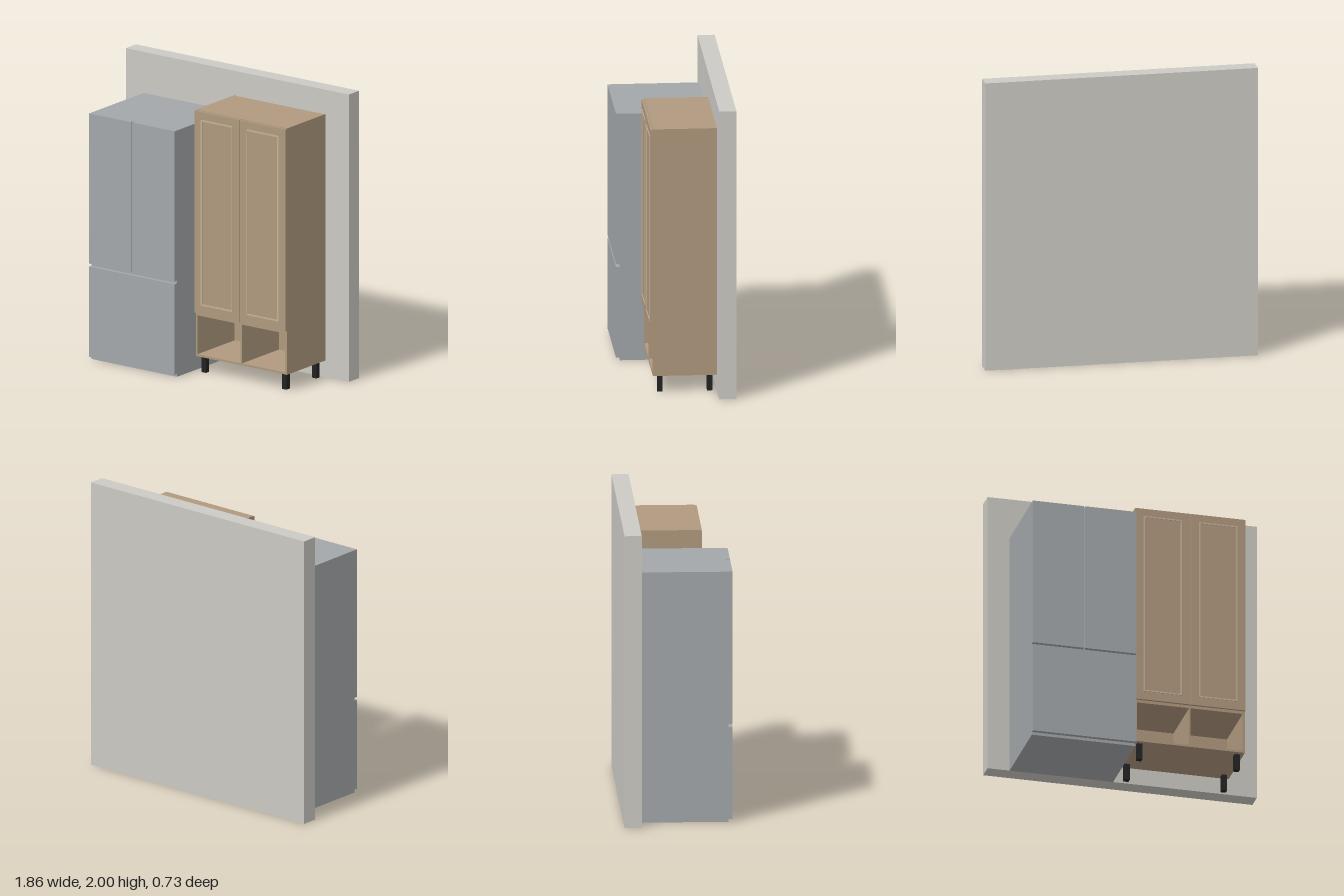
import * as THREE from 'three';

const paint = (color) => new THREE.MeshStandardMaterial({ color });

// Box given by its lower and upper limits on each axis
function box(parent, name, mat, [x0, x1], [y0, y1], [z0, z1]) {
  const mesh = new THREE.Mesh(new THREE.BoxGeometry(x1 - x0, y1 - y0, z1 - z0), mat);
  mesh.position.set((x0 + x1) / 2, (y0 + y1) / 2, (z0 + z1) / 2);
  mesh.name = name;
  parent.add(mesh);
  return mesh;
}

function group(parent, name) {
  const g = new THREE.Group();
  g.name = name;
  parent.add(g);
  return g;
}

// Thin raised rectangular frame on a door
function moulding(parent, mat, [x0, x1], [y0, y1], z, depth, t) {
  const rect = (P, d) => new P([[x0 + d, y0 + d], [x1 - d, y0 + d], [x1 - d, y1 - d], [x0 + d, y1 - d]]
    .map(([x, y]) => new THREE.Vector2(x, y)));
  const shape = rect(THREE.Shape, 0);
  shape.holes.push(rect(THREE.Path, t));
  const mesh = new THREE.Mesh(new THREE.ExtrudeGeometry(shape, { depth, bevelEnabled: false }), mat);
  mesh.position.z = z;
  mesh.name = 'doorMoulding';
  parent.add(mesh);
}

export function createModel() {
  const model = new THREE.Group();
  model.name = 'kitchenWall';
  const wallMat = paint(0xcccac4), steel = paint(0xa3a7aa), wood = paint(0xb0997f);
  const trim = paint(0xc6b196), black = paint(0x222222);

  // Wall behind both pieces
  box(model, 'wall', wallMat, [-0.93, 0.93], [0, 2], [-0.365, -0.25]);

  // Fridge: body, two upper doors, one freezer drawer
  const fridge = group(model, 'fridge');
  box(fridge, 'fridgeBody', steel, [-0.778, -0.063], [0, 1.715], [-0.25, 0.338]);
  box(fridge, 'fridgeDoorRight', steel, [-0.778, -0.425], [0.67, 1.715], [0.338, 0.365]);
  box(fridge, 'fridgeDoorLeft', steel, [-0.417, -0.063], [0.67, 1.715], [0.338, 0.365]);
  box(fridge, 'freezerDrawer', steel, [-0.778, -0.063], [0.02, 0.65], [0.338, 0.365]);

  // Cabinet carcass, open at the bottom front
  const cabinet = group(model, 'cabinet');
  const L = -0.025, R = 0.735, B = 0.115, T = 1.83, t = 0.015;
  const mid = (L + R) / 2, depth = [-0.25, 0.18], inside = [L + t, R - t];
  for (const x of [L, R - t]) box(cabinet, 'sidePanel', wood, [x, x + t], [B, T], depth);
  box(cabinet, 'bottomPanel', wood, inside, [B, B + t], depth);
  box(cabinet, 'topPanel', wood, inside, [T - t, T], [-0.235, 0.18]);
  box(cabinet, 'shelf', wood, inside, [0.4, 0.42], [-0.235, 0.18]);
  box(cabinet, 'backPanel', wood, inside, [B + t, T - 0.002], [-0.25, -0.235]);
  box(cabinet, 'divider', wood, [mid - 0.005, mid + 0.005], [B + t, 0.4], [-0.235, 0.18]);

  // Tall doors with raised moulding
  for (const [x0, x1] of [[L, mid - 0.0015], [mid + 0.0015, R]]) {
    box(cabinet, 'door', wood, [x0, x1], [0.42, 1.826], [0.181, 0.196]);
    const c = (x0 + x1) / 2;
    moulding(cabinet, trim, [c - 0.133, c + 0.133], [0.48, 1.772], 0.196, 0.004, 0.01);
  }

  // Square legs
  for (const x of [0.0, 0.672])
    for (const z of [-0.223, 0.112])
      box(cabinet, 'leg', black, [x, x + 0.036], [0, B], [z, z + 0.037]);

  return model;
}
